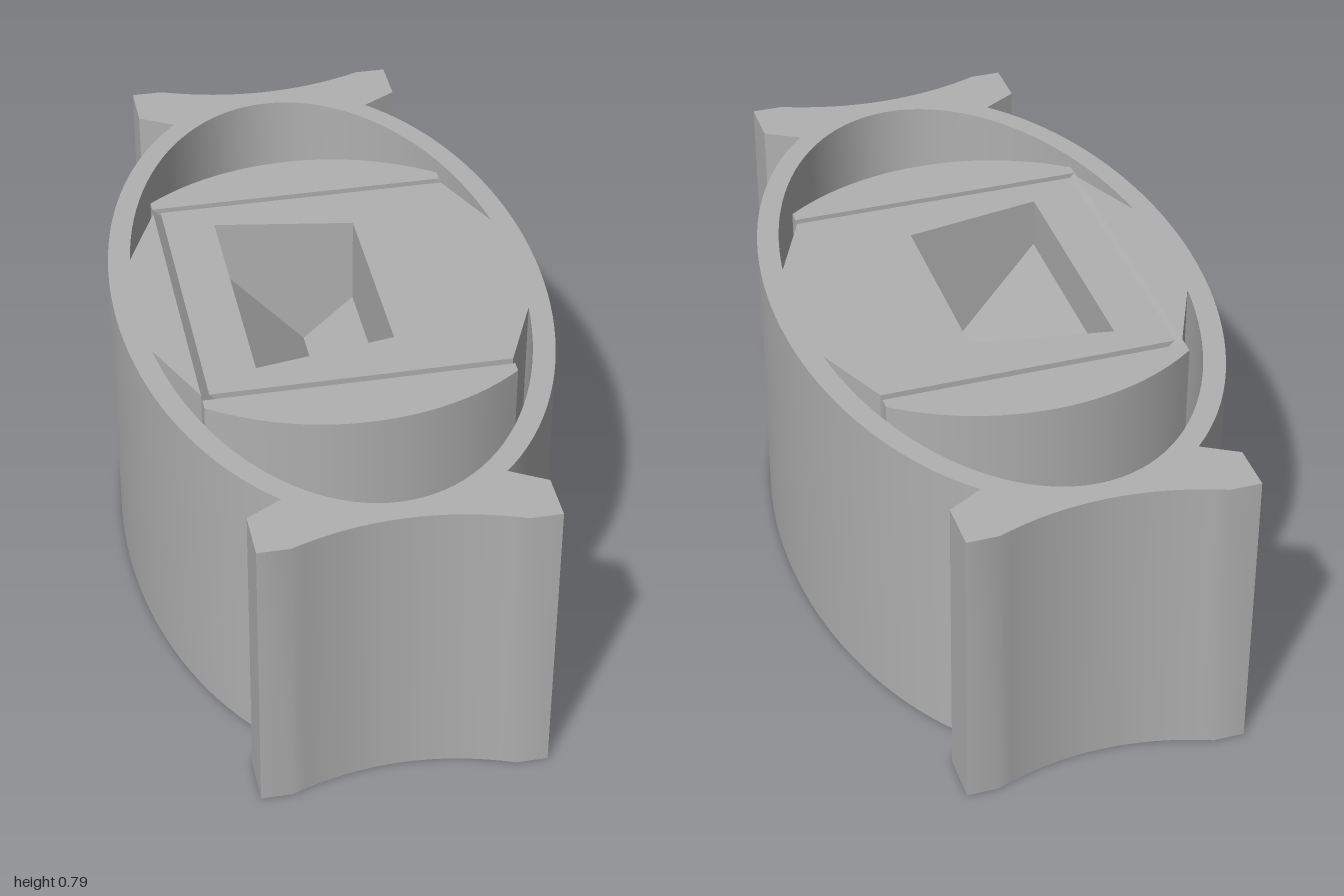
import * as THREE from 'three';
import { toCreasedNormals } from 'three/addons/utils/BufferGeometryUtils.js';

const H = 0.79;
const grey = new THREE.MeshStandardMaterial({ color: 0xb0b0b0 });
grey.name = 'plain grey';

const V = (x, y) => new THREE.Vector2(x, y);
const range = (n, f) => Array.from({ length: n + 1 }, (_, i) => f(i / n));
const turn = pts => pts.map(p => V(-p.x, -p.y));

// Ellipse points from angle a to angle b, in the ground plan (x, z)
const ellipse = (rx, rz, a, b, n) => range(n, t => {
  const k = a + (b - a) * t;
  return V(rx * Math.cos(k), rz * Math.sin(k));
});

// Extrude a ground plan upward from y = 0 to y = H
function upright(points, hole) {
  const shape = new THREE.Shape(points);
  if (hole) shape.holes.push(new THREE.Path(hole));
  const g = new THREE.ExtrudeGeometry(shape, { depth: H, bevelEnabled: false });
  return g.rotateX(Math.PI / 2).translate(0, H, 0);
}

function add(parent, name, geometry, crease = 0.4) {
  const mesh = new THREE.Mesh(toCreasedNormals(geometry, crease), grey);
  mesh.name = name;
  parent.add(mesh);
  return mesh;
}

// Oval ring with a flared, hollow-ended foot at each end
function frameGeometry() {
  const a = Math.acos(0.27 / 0.55);
  const side = ellipse(0.55, 0.945, -a, a, 40);
  const foot = [
    V(0.36, 0.875), V(0.36, 1),
    ...range(16, t => {
      const x = 0.28 * (1 - 2 * t);
      return V(x, 0.945 + 0.055 * (x / 0.28) ** 2);
    }),
    V(-0.36, 1), V(-0.36, 0.875),
  ];
  const half = [...side, ...foot];
  const b = Math.asin(0.2 / 0.885);
  const inner = [V(0.39, 0.4), ...ellipse(0.493, 0.885, b, Math.PI - b, 48), V(-0.39, 0.4)];
  return upright([...half, ...turn(half)], [...inner, ...turn(inner)]);
}

// Rounded cap beside the centre block
function capGeometry() {
  const k = Math.asin(0.39 / 0.65);
  const arc = range(24, t => {
    const u = k * (1 - 2 * t);
    return V(0.65 * Math.sin(u), 0.65 * Math.cos(u) - 0.07);
  });
  return upright([V(-0.39, 0.42), V(0.39, 0.42), ...arc]);
}

// Sloping underside of the upper wedge
const ramp = x => (0.39 - x) / 0.76 * H;

// Wedge with a tapered pocket and a slanted pocket floor
function wedge(name, halfDepth) {
  const group = new THREE.Group();
  group.name = name;
  const body = upright(
    [V(-0.37, -halfDepth), V(0.39, -halfDepth), V(0.39, halfDepth), V(-0.37, halfDepth)],
    [V(-0.24, -0.317), V(0.12, -0.257), V(0.12, 0.257), V(-0.24, 0.317)]);
  const p = body.attributes.position;
  for (let i = 0; i < p.count; i++) if (p.getY(i) < 0.01) p.setY(i, ramp(p.getX(i)));
  add(group, name + 'Body', body);

  const profile = new THREE.Shape([V(-0.01, ramp(-0.01)), V(0.12, ramp(0.12)), V(0.12, 0.55)]);
  const floor = new THREE.ExtrudeGeometry(profile, { depth: 2, bevelEnabled: false });
  const q = floor.attributes.position;
  for (let i = 0; i < q.count; i++) {
    const w = 0.257 + (0.12 - q.getX(i)) / 6;
    q.setZ(i, q.getZ(i) > 1 ? w : -w);
  }
  add(group, name + 'PocketFloor', floor);
  return group;
}

export function createModel() {
  const model = new THREE.Group();
  model.name = 'ovalHolder';
  add(model, 'ovalFrame', frameGeometry());

  const frontCap = add(model, 'frontCap', capGeometry());
  const backCap = frontCap.clone();
  backCap.name = 'backCap';
  backCap.rotation.y = Math.PI;
  model.add(backCap);

  // Two matching wedges, parted by a thin diagonal gap
  model.add(wedge('upperWedge', 0.4));
  const lower = wedge('lowerWedge', 0.42);
  lower.rotation.z = Math.PI;
  lower.position.y = H;
  model.add(lower);
  return model;
}
